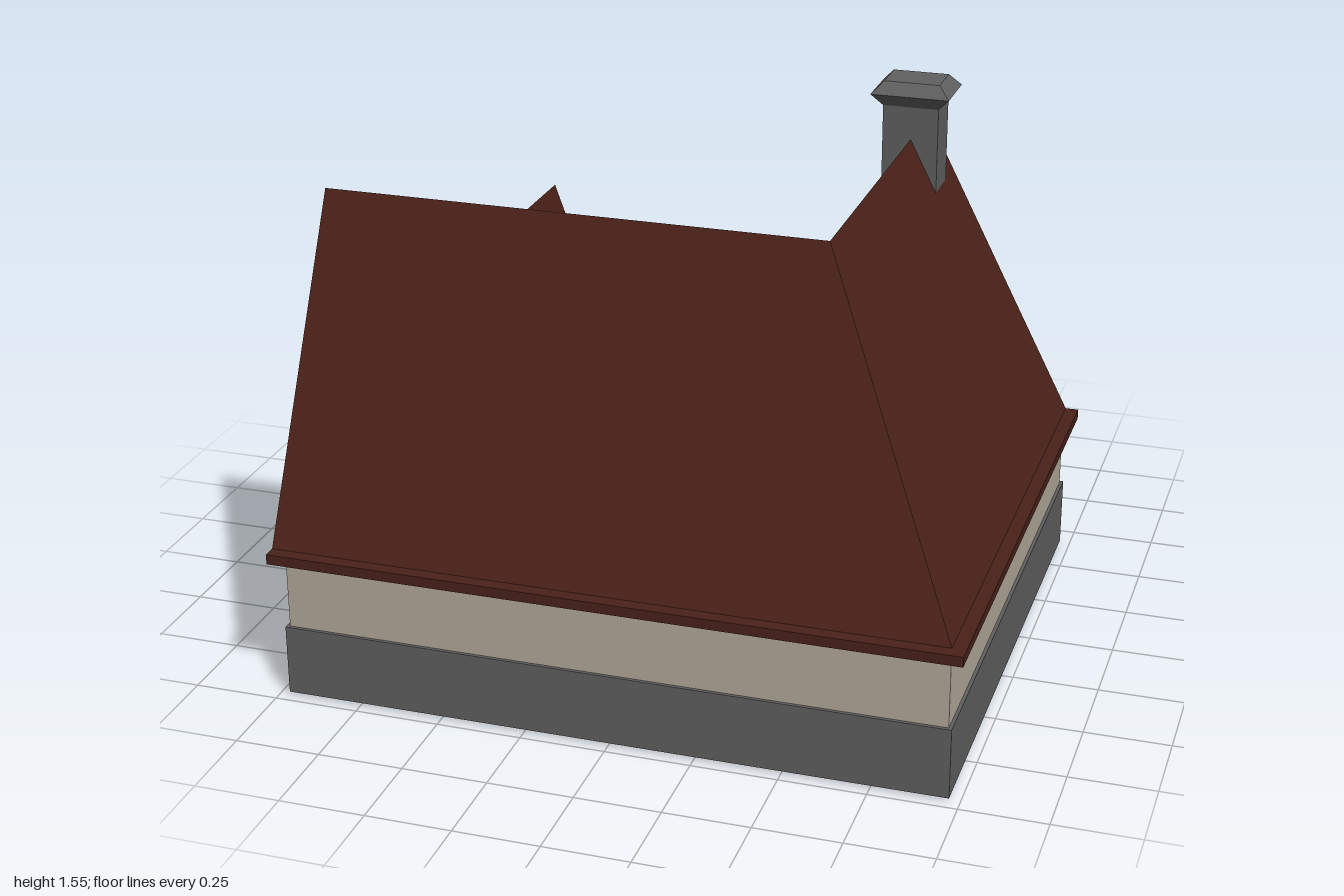
import * as THREE from 'three';

const C = { roof: 0x4a2119, wall: 0xb3a99b, stone: 0x606060, slab: 0x5c5f5f, tile: 0x4a5050, wood: 0x42230f,
  door: 0x35200f, forge: 0x4b5252, metal: 0x85858f, barrel: 0x5c3410, dark: 0x1c1a18, banner: 0x3d1538, cart: 0x3c1d10 };
const mats = {};
const mat = (c) => (mats[c] ??= new THREE.MeshStandardMaterial({ color: C[c], flatShading: true, side: THREE.DoubleSide }));

function add(parent, name, geo, c, x = 0, y = 0, z = 0, ry = 0) {
  const m = new THREE.Mesh(geo, mat(c));
  m.name = name;
  m.position.set(x, y, z);
  m.rotation.y = ry;
  parent.add(m);
  return m;
}
const box = (w, h, d) => new THREE.BoxGeometry(w, h, d);

// Box with a differently sized top, standing on y = 0
function frustum(w0, d0, w1, d1, h) {
  const g = box(1, h, 1).translate(0, h / 2, 0), p = g.attributes.position;
  for (let i = 0; i < p.count; i++) {
    const top = p.getY(i) > h / 2;
    p.setX(i, p.getX(i) * (top ? w1 : w0));
    p.setZ(i, p.getZ(i) * (top ? d1 : d0));
  }
  g.computeVertexNormals();
  return g;
}

// Extruded outline, with optional hole
function slab(points, depth, hole) {
  const s = new THREE.Shape(points.map(([x, y]) => new THREE.Vector2(x, y)));
  if (hole) s.holes.push(new THREE.Path(hole.map(([x, y]) => new THREE.Vector2(x, y))));
  return new THREE.ExtrudeGeometry(s, { depth, bevelEnabled: false });
}
// Outline with straight sides and a pointed top
const pointed = (hw, y0, y1, y2) => [[-hw, y0], [hw, y0], [hw, y1], [0, y2], [-hw, y1]];

// Sweeps a cross-section [offset, y] along the L-shaped ridge line with a mitred corner
const MID = 0.487;
function sweepL(profile, xEnd, zEnd, closed) {
  const at = ([o, y], j) => [[xEnd, y, MID + o], [MID + o, y, MID + o], [MID + o, y, zEnd]][j];
  const pos = [], n = profile.length;
  for (let i = 0; i < (closed ? n : n - 1); i++) {
    const a = profile[i], b = profile[(i + 1) % n];
    for (let j = 0; j < 2; j++) {
      pos.push(...at(a, j), ...at(a, j + 1), ...at(b, j + 1), ...at(a, j), ...at(b, j + 1), ...at(b, j));
    }
  }
  if (closed) {
    const tris = THREE.ShapeUtils.triangulateShape(profile.map(([o, y]) => new THREE.Vector2(o, y)), []);
    for (const [a, b, c] of tris) {
      pos.push(...at(profile[a], 0), ...at(profile[b], 0), ...at(profile[c], 0));
      pos.push(...at(profile[a], 2), ...at(profile[c], 2), ...at(profile[b], 2));
    }
  }
  const g = new THREE.BufferGeometry();
  g.setAttribute('position', new THREE.Float32BufferAttribute(pos, 3));
  g.computeVertexNormals();
  return g;
}

function chimney(g) {
  add(g, 'chimneyShaft', box(0.17, 0.45, 0.135), 'stone', 0.485, 1.26, -0.515);
  add(g, 'chimneyCapLower', frustum(0.17, 0.135, 0.24, 0.18, 0.037), 'stone', 0.485, 1.48, -0.515);
  add(g, 'chimneyCapUpper', frustum(0.24, 0.18, 0.17, 0.125, 0.037), 'stone', 0.485, 1.517, -0.515);
}

function house(g) {
  const roof = [[0.513, 0.43], [0.513, 0.46], [0.473, 0.46], [0, 1.38], [-0.473, 0.46], [-0.52, 0.46],
    [-0.52, 0.43], [-0.45, 0.43], [0, 1.315], [0.45, 0.43]];
  add(g, 'roof', sweepL(roof, -1, -0.69, true), 'roof');
  for (const s of [1, -1]) {
    add(g, 'longWall', sweepL([[s * 0.473, 0.2], [s * 0.473, 0.44]], -0.96, -0.65), 'wall');
    add(g, 'stoneBase', sweepL([[s * 0.483, 0.01], [s * 0.483, 0.22], [s * 0.45, 0.22]], -0.97, -0.66), 'stone');
    add(g, 'doorSideBase', box(0.355, 0.21, 0.03), 'stone', MID + s * 0.3055, 0.115, -0.645);
  }
  add(g, 'sideBase', box(0.03, 0.21, 0.966), 'stone', -0.955, 0.115, MID);
  add(g, 'floor', box(1.94, 0.01, 0.966), 'slab', 0, 0.016, MID);

  // Gable ends and the back door
  const gable = pointed(0.473, 0.2, 0.42, 1.34);
  const doorGable = [[-0.473, 0.2], [-0.125, 0.2], [-0.125, 0.41], [0, 0.57], [0.125, 0.41], [0.125, 0.2],
    [0.473, 0.2], [0.473, 0.42], [0, 1.34], [-0.473, 0.42]];
  add(g, 'backGable', slab(doorGable, 0.03), 'wall', MID, 0, -0.65);
  add(g, 'door', slab(pointed(0.13, 0.01, 0.41, 0.575), 0.012), 'door', MID, 0, -0.638);
  add(g, 'sideGable', slab(gable, 0.03), 'wall', -0.96, 0, MID, Math.PI / 2);

  // Hanging banner on the side gable
  add(g, 'bannerPole', box(0.035, 0.035, 0.21), 'wood', -0.978, 0.95, MID);
  const cloth = [[-0.075, 0.48], [0, 0.515], [0.075, 0.48], [0.075, 0.95], [-0.075, 0.95]];
  add(g, 'banner', slab(cloth, 0.008), 'banner', -0.983, 0, MID, Math.PI / 2);
}

function dormer(g) {
  const d = new THREE.Group();
  d.name = 'dormer';
  d.position.x = -0.49;
  g.add(d);
  const chevron = [[-0.2, 0.68], [-0.2, 0.72], [0, 1.28], [0.2, 0.72], [0.2, 0.68], [0.175, 0.68], [0, 1.2], [-0.175, 0.68]];
  add(d, 'dormerRoof', slab(chevron, 0.435), 'roof', 0, 0, -0.01);
  add(d, 'dormerWall', slab(pointed(0.165, 0.46, 0.71, 1.21), 0.1, pointed(0.085, 0.6, 0.85, 1.1)), 'wall', 0, 0, 0.03);
  add(d, 'dormerWindow', slab(pointed(0.09, 0.59, 0.85, 1.11), 0.01), 'door', 0, 0, 0.045);
  add(d, 'dormerSill', box(0.24, 0.045, 0.06), 'wood', 0, 0.59, 0.01);
}

function patio(g) {
  add(g, 'patio', box(0.93, 0.02, 0.61), 'slab', -0.457, 0.014, -0.305);
  // Paving stones: x, z, width, depth
  const tiles = [[-0.82, -0.5, 0.09, 0.14], [-0.69, -0.55, 0.08, 0.07], [-0.58, -0.53, 0.09, 0.07], [-0.46, -0.555, 0.1, 0.1],
    [-0.325, -0.53, 0.04, 0.08], [-0.18, -0.555, 0.1, 0.1], [-0.66, -0.43, 0.11, 0.08], [-0.35, -0.44, 0.12, 0.09],
    [-0.77, -0.345, 0.11, 0.07], [-0.645, -0.3, 0.07, 0.06], [-0.515, -0.335, 0.06, 0.13], [-0.3, -0.265, 0.13, 0.11],
    [-0.785, -0.22, 0.07, 0.06], [-0.635, -0.15, 0.1, 0.1], [-0.84, -0.11, 0.1, 0.07], [-0.46, -0.19, 0.08, 0.08]];
  for (const [x, z, w, d] of tiles) add(g, 'pavingStone', box(w, 0.012, d), 'tile', x, 0.027, z);

  // Corner forge
  const f = new THREE.Group();
  f.name = 'forge';
  f.position.set(-0.145, 0.02, -0.165);
  f.rotation.y = -2.48;
  g.add(f);
  const hearth = [[-0.105, 0], [0.105, 0], [0.105, 0.2], [-0.105, 0.2]];
  add(f, 'hearth', slab(hearth, 0.15, pointed(0.07, 0.08, 0.14, 0.17)), 'forge', 0, 0, -0.07);
  add(f, 'hearthBack', box(0.2, 0.19, 0.02), 'dark', 0, 0.095, -0.06);
  add(f, 'hearthLedge', box(0.21, 0.025, 0.03), 'forge', 0, 0.065, 0.09);
  add(f, 'hood', frustum(0.21, 0.15, 0.1, 0.085, 0.16), 'forge', 0, 0.2, 0.005);
  add(f, 'stack', box(0.1, 0.4, 0.085), 'forge', 0, 0.54, 0.005);
  add(f, 'stackCapLower', frustum(0.1, 0.085, 0.135, 0.115, 0.025), 'forge', 0, 0.725, 0.005);
  add(f, 'stackCapUpper', frustum(0.135, 0.115, 0.1, 0.085, 0.025), 'forge', 0, 0.75, 0.005);

  // Stacked firewood
  for (let row = 0; row < 3; row++) for (let i = 0; i < 3 - row; i++) {
    const log = new THREE.CylinderGeometry(0.034, 0.034, 0.15, 6).rotateZ(Math.PI / 2);
    add(g, 'log', log, 'cart', -0.09 - (i % 2) * 0.01, 0.056 + row * 0.055, -0.4 + (i - (2 - row) / 2) * 0.066);
  }

  // Barrels: two on the ground, one on top
  const side = [[0, 0], [0.036, 0], [0.046, 0.04], [0.046, 0.08], [0.036, 0.12], [0, 0.12]].map((p) => new THREE.Vector2(...p));
  for (const [x, y, z] of [[-0.425, 0.024, -0.06], [-0.335, 0.024, -0.06], [-0.38, 0.144, -0.06]]) {
    add(g, 'barrel', new THREE.LatheGeometry(side, 8), 'barrel', x, y, z);
    for (const h of [0.03, 0.09]) add(g, 'barrelHoop', new THREE.CylinderGeometry(0.0465, 0.0465, 0.008, 8, 1, true), 'dark', x, y + h, z);
  }

  // Rack with spears and short blades
  add(g, 'rack', box(0.31, 0.03, 0.045), 'wood', -0.685, 0.2, -0.05);
  for (const x of [-0.54, -0.665, -0.72]) {
    add(g, 'spearShaft', new THREE.CylinderGeometry(0.005, 0.005, 0.42, 5), 'wood', x, 0.234, -0.06);
    add(g, 'spearTip', new THREE.ConeGeometry(0.011, 0.05, 4), 'metal', x, 0.465, -0.06);
  }
  for (const x of [-0.6, -0.8]) {
    add(g, 'blade', box(0.018, 0.15, 0.006), 'metal', x, 0.14, -0.065);
    add(g, 'bladeGuard', box(0.045, 0.01, 0.015), 'wood', x, 0.225, -0.065);
    add(g, 'bladeGrip', box(0.012, 0.05, 0.012), 'wood', x, 0.255, -0.065);
  }

  // Anvil
  const a = new THREE.Group();
  a.name = 'anvil';
  a.position.set(-0.455, 0.03, -0.44);
  a.rotation.y = 0.27;
  g.add(a);
  add(a, 'anvilFoot', frustum(0.07, 0.05, 0.035, 0.03, 0.035), 'metal');
  add(a, 'anvilTop', frustum(0.06, 0.035, 0.105, 0.05, 0.035), 'metal', 0, 0.035, 0);
}

// Two-wheeled hand cart with a load of blocks
function cart(g) {
  const c = new THREE.Group();
  c.name = 'cart';
  c.position.set(-0.105, 0, -0.878);
  c.rotation.y = 0.66;
  g.add(c);
  add(c, 'cartFloor', box(0.18, 0.012, 0.12), 'cart', 0, 0.04, 0);
  for (const s of [1, -1]) {
    add(c, 'cartSide', box(0.19, 0.045, 0.012), 'cart', 0, 0.06, s * 0.06);
    add(c, 'cartEnd', box(0.012, 0.045, 0.12), 'cart', s * 0.09, 0.06, 0);
    add(c, 'wheel', new THREE.CylinderGeometry(0.035, 0.035, 0.014, 8).rotateX(Math.PI / 2), 'wood', 0.075, 0.035, s * 0.076);
    const path = new THREE.LineCurve3(new THREE.Vector3(-0.08, 0.05, s * 0.06), new THREE.Vector3(-0.31, 0.022, s * 0.016));
    add(c, 'cartHandle', new THREE.TubeGeometry(path, 1, 0.007, 4), 'cart');
    add(c, 'loadBlock', box(0.13, 0.035, 0.04), 'metal', -0.005, 0.066, s * 0.026);
  }
  add(c, 'topBlock', box(0.09, 0.028, 0.04), 'metal', 0.0, 0.098, 0, 0.15);
  add(c, 'handleBar', box(0.012, 0.012, 0.045), 'cart', -0.31, 0.022, 0);
  add(c, 'axle', box(0.014, 0.014, 0.15), 'wood', 0.075, 0.035, 0);
}

export function createModel() {
  const g = new THREE.Group();
  g.name = 'blacksmithHouse';
  [house, chimney, dormer, patio, cart].forEach((build) => build(g));
  return g;
}
